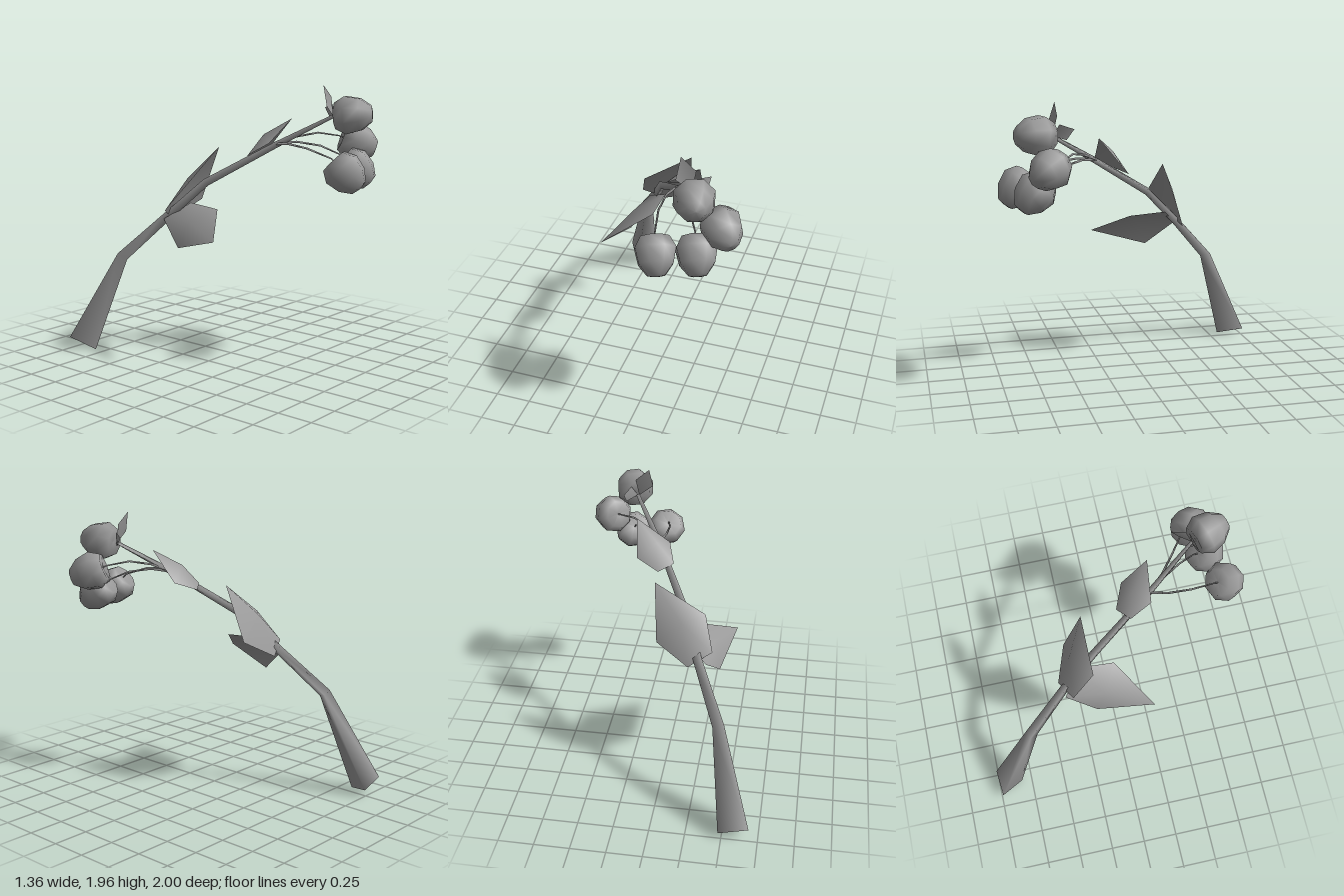
import * as THREE from 'three';

const V = (p) => new THREE.Vector3(...p);
const grey = 0x999999;
const solid = new THREE.MeshStandardMaterial({ color: grey });
const thin = new THREE.MeshStandardMaterial({ color: grey, side: THREE.DoubleSide });

function meshFrom(name, positions, index) {
  const geo = new THREE.BufferGeometry();
  geo.setAttribute('position', new THREE.Float32BufferAttribute(positions, 3));
  geo.setIndex(index);
  geo.computeVertexNormals();
  const mesh = new THREE.Mesh(geo, thin);
  mesh.name = name;
  return mesh;
}

// Open three-sided tapering tube along a polyline, with a carried frame
function stalk(name, path, radii, start) {
  const pts = path.map(V);
  const n = pts.length, sides = 3, pos = [], index = [];
  let side = V(start), last = null;
  for (let i = 0; i < n; i++) {
    const t = pts[Math.min(i + 1, n - 1)].clone().sub(pts[Math.max(i - 1, 0)]).normalize();
    if (last) side.applyQuaternion(new THREE.Quaternion().setFromUnitVectors(last, t));
    side.addScaledVector(t, -side.dot(t)).normalize();
    last = t;
    const up = t.clone().cross(side);
    for (let j = 0; j < sides; j++) {
      const a = (j / sides) * Math.PI * 2;
      const p = pts[i].clone()
        .addScaledVector(side, Math.cos(a) * radii[i])
        .addScaledVector(up, Math.sin(a) * radii[i]);
      pos.push(p.x, p.y, p.z);
      if (i < n - 1) {
        const k = (j + 1) % sides, r = i * sides, s = r + sides;
        index.push(r + j, r + k, s + j, r + k, s + k, s + j);
      }
    }
  }
  return meshFrom(name, pos, index);
}

// Folded leaf: a fan of triangles from a raised middle point to its outline
function leaf(name, middle, outline) {
  const index = outline.flatMap((_, i) => [0, i + 1, ((i + 1) % outline.length) + 1]);
  return meshFrom(name, [middle, ...outline].flat(), index);
}

// Faceted berry, broad towards the stalk and narrower at the far end
const berryProfile = [[0, -0.142], [0.062, -0.132], [0.118, -0.06], [0.14, 0.04], [0.098, 0.115], [0, 0.1]]
  .map(([x, y]) => new THREE.Vector2(x, y));
const berryGeo = new THREE.LatheGeometry(berryProfile, 8);

function berry(name, centre, top) {
  const mesh = new THREE.Mesh(berryGeo, solid);
  mesh.name = name;
  mesh.position.set(...centre);
  const axis = V(top).sub(mesh.position).normalize();
  mesh.quaternion.setFromUnitVectors(new THREE.Vector3(0, 1, 0), axis);
  return mesh;
}

export function createModel() {
  const model = new THREE.Group();
  model.name = 'berryBranch';

  // Main branch, flaring at its cut end
  model.add(stalk('branch',
    [[-0.58, 0.048, -0.94], [-0.43, 0.71, -0.67], [-0.25, 1.02, -0.38],
      [-0.12, 1.27, -0.13], [0.13, 1.55, 0.31], [0.34, 1.75, 0.64]],
    [0.123, 0.047, 0.036, 0.032, 0.025, 0.014], [0, -0.45, 0.9]));

  // Large leaves
  model.add(leaf('upperLeaf', [-0.12, 1.28, -0.31],
    [[-0.34, 1.07, -0.33], [-0.18, 0.985, -0.41], [0.05, 1.11, -0.32], [0.08, 1.5, -0.18], [-0.27, 1.27, -0.17]]));
  model.add(leaf('lowerLeaf', [-0.34, 1.02, -0.1],
    [[-0.3, 1.0, -0.38], [-0.38, 0.825, -0.17], [-0.465, 0.93, 0.23], [-0.15, 1.09, 0], [-0.14, 1.11, -0.26]]));
  model.add(leaf('outerLeaf', [0.13, 1.61, 0.19],
    [[0, 1.47, 0.15], [0.1, 1.44, 0.07], [0.26, 1.5, 0.14], [0.29, 1.72, 0.32], [0.05, 1.56, 0.3]]));

  // Small leaves at the tip
  model.add(leaf('tipLeafRight', [0.28, 1.85, 0.62],
    [[0.33, 1.75, 0.64], [0.35, 1.88, 0.61], [0.25, 1.965, 0.61], [0.23, 1.82, 0.655]]));
  model.add(leaf('tipLeafLeft', [0.39, 1.78, 0.57],
    [[0.34, 1.75, 0.64], [0.41, 1.73, 0.56], [0.42, 1.8, 0.51], [0.38, 1.83, 0.6]]));

  // Berries; all but the tip berry hang on curved thin stalks
  model.add(berry('tipBerry', [0.385, 1.76, 0.76], [0.34, 1.75, 0.64]));
  const fork = [0.13, 1.55, 0.3];
  const hanging = [
    ['left', [0.55, 1.555, 0.7], [[0.22, 1.6, 0.41], [0.34, 1.625, 0.51], [0.47, 1.6, 0.6]]],
    ['right', [0.165, 1.385, 0.86], [[0.095, 1.56, 0.43], [0.095, 1.54, 0.59], [0.13, 1.48, 0.77]]],
    ['middle', [0.41, 1.385, 0.78], [[0.21, 1.565, 0.42], [0.3, 1.54, 0.56], [0.37, 1.48, 0.68]]],
  ];
  for (const [side, centre, bend] of hanging) {
    model.add(stalk(side + 'BerryStalk', [fork, ...bend, centre], [0.012, 0.009, 0.008, 0.006, 0.004], [0, 1, 0]));
    model.add(berry(side + 'Berry', centre, bend[2]));
  }
  return model;
}
